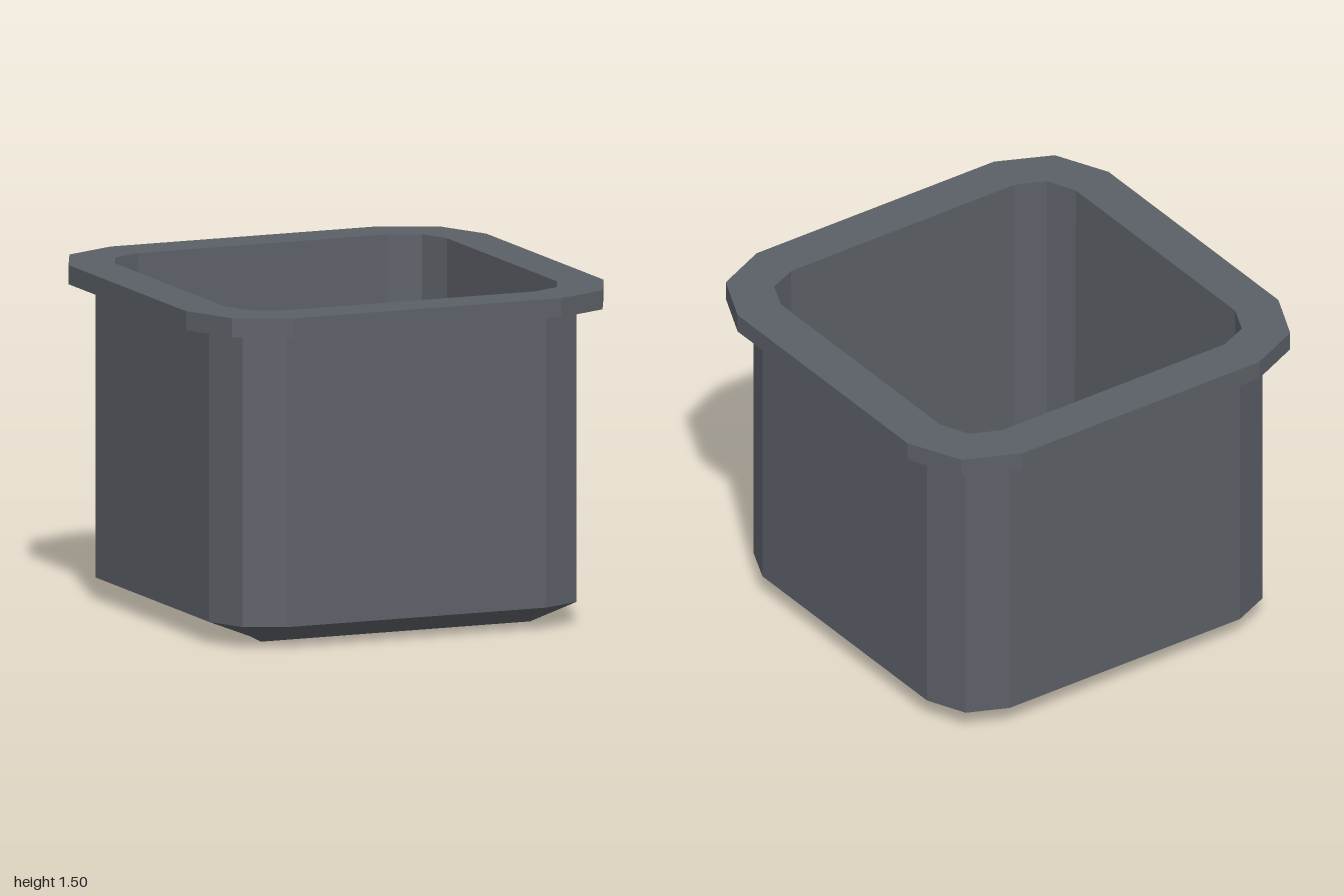
import * as THREE from 'three';

// Mirror one quadrant of three points into a closed 12-point ring
function mirrorRing(q) {
  const r = [...q].reverse();
  const flip = (pts, sx, sz) => pts.map(([x, y, z]) => [x * sx, y, z * sz]);
  return [...q, ...flip(r, -1, 1), ...flip(q, -1, -1), ...flip(r, 1, -1)];
}

// Rounded square: half width, start of the corner, middle of the corner
function squareRing(y, half, flat, corner) {
  return mirrorRing([[half, y, flat], [corner, y, corner], [flat, y, half]]);
}

// Base outline, with its front and back edges dipping slightly
function baseRing(y) {
  return mirrorRing([[0.66, y + 0.012, 0.57], [0.645, y, 0.648], [0.57, y, 0.648]]);
}

function toGeometry(points) {
  const g = new THREE.BufferGeometry();
  g.setAttribute('position', new THREE.Float32BufferAttribute(points.flat(), 3));
  g.computeVertexNormals();
  return g;
}

// Skin joining successive rings
function loft(rings) {
  const pts = [];
  for (let i = 0; i < rings.length - 1; i++) {
    const lo = rings[i], hi = rings[i + 1];
    for (let j = 0; j < lo.length; j++) {
      const k = (j + 1) % lo.length;
      pts.push(lo[j], hi[j], lo[k], lo[k], hi[j], hi[k]);
    }
  }
  return toGeometry(pts);
}

// Flat middle panel with a shallow sloping strip at each end
function basePanel(ring, faceUp) {
  const pts = [];
  for (const face of [[0, 5, 6, 11], [0, 1, 2, 3, 4, 5], [6, 7, 8, 9, 10, 11]]) {
    for (let i = 1; i < face.length - 1; i++) {
      const tri = [ring[face[0]], ring[face[i]], ring[face[i + 1]]];
      pts.push(...(faceUp ? tri.reverse() : tri));
    }
  }
  return toGeometry(pts);
}

export function createModel() {
  const group = new THREE.Group();
  const material = new THREE.MeshStandardMaterial({ color: 0x5b5f66 });
  material.name = 'slate grey';
  const add = (name, geometry) => {
    const mesh = new THREE.Mesh(geometry, material);
    mesh.name = name;
    group.add(mesh);
  };

  const rimY = 1.41, topY = 1.495;
  const outerBase = baseRing(0), innerBase = baseRing(0.09);
  const outerTop = squareRing(rimY, 0.88, 0.62, 0.8);
  const innerTop = squareRing(topY, 0.795, 0.6, 0.735);

  // Outside walls with the bevelled foot
  add('outerWall', loft([outerBase, squareRing(0.1, 0.88, 0.62, 0.8), outerTop]));
  // Overhanging lip around the opening
  add('rim', loft([
    outerTop,
    squareRing(rimY, 1, 0.64, 0.887),
    squareRing(topY, 1, 0.64, 0.887),
    innerTop,
  ]));
  // Inside walls sloping in to the floor
  add('innerWall', loft([innerTop, squareRing(0.16, 0.79, 0.6, 0.735), innerBase]));
  add('underside', basePanel(outerBase, false));
  add('innerFloor', basePanel(innerBase, true));
  return group;
}
